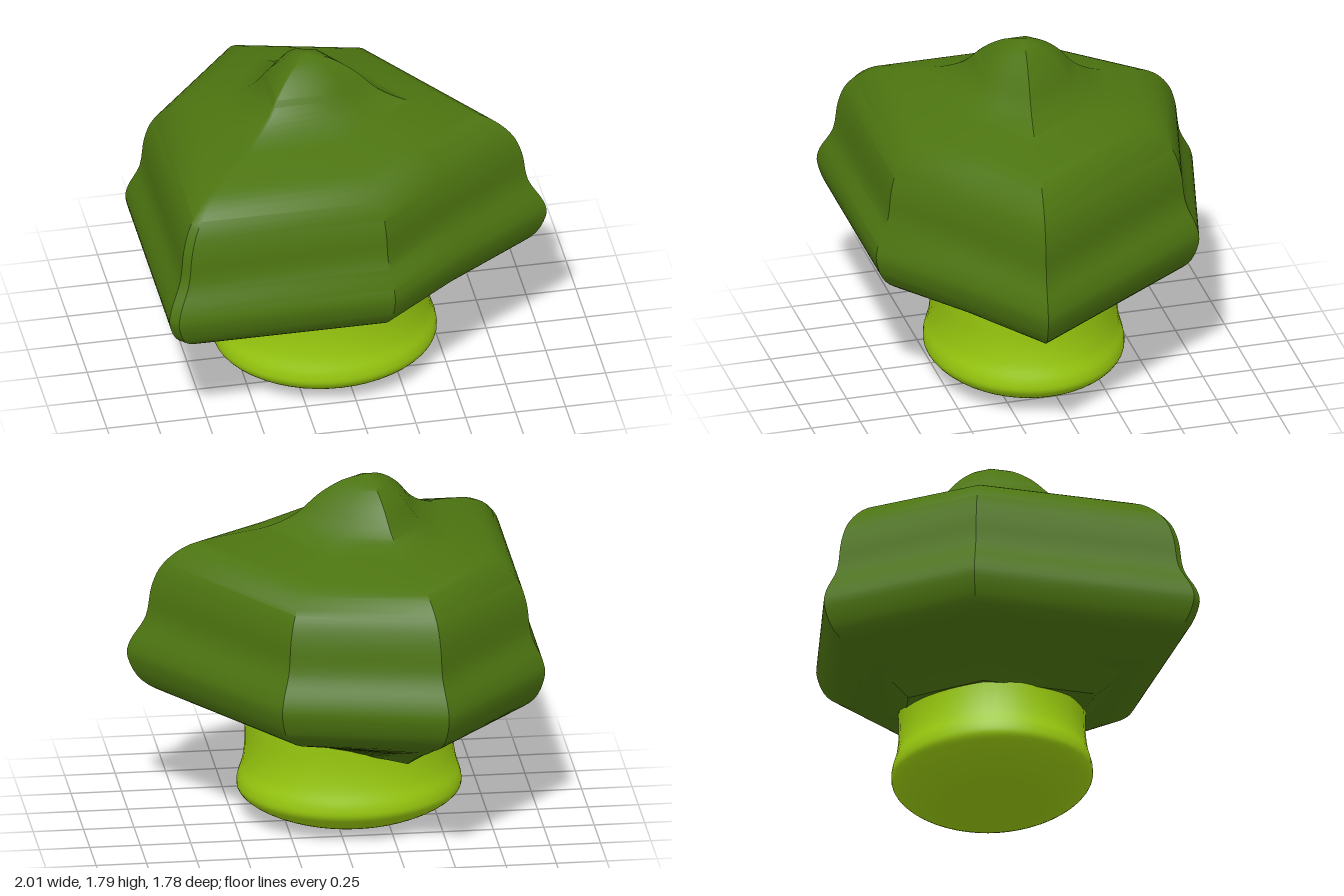
import * as THREE from 'three';
import { toCreasedNormals } from 'three/addons/utils/BufferGeometryUtils.js';

const leafGreen = new THREE.MeshStandardMaterial({ color: 0x4c7410 });
leafGreen.name = 'leafGreen';
const limeGreen = new THREE.MeshStandardMaterial({ color: 0x9acb0f });
limeGreen.name = 'limeGreen';

// Axis of the crown and its outline at the widest level: x, z, dip of the lower rim
const CX = -0.16, CZ = 0.05;
const OUTLINE = [
  [-1, -0.28, 0.06], [-0.45, -0.89, 0.07], [0.35, -0.7, 0], [1, 0.25, 0],
  [0.52, 0.57, 0], [0.12, 0.88, 0], [-0.96, 0.88, 0.06], [-1, 0.84, 0.06],
];

// Crown profile: outline scale, height
const PROFILE = [
  [0.5, 0.5], [0.62, 0.545], [0.8, 0.6], [0.94, 0.68], [1, 0.8], [0.99, 0.89],
  [0.925, 1.02], [0.9, 1.18], [0.85, 1.3], [0.74, 1.4], [0.56, 1.46],
  [0.42, 1.5], [0.3, 1.57], [0.2, 1.68], [0.1, 1.755], [0, 1.79],
];

// Lofts the angular outline along the smooth profile
function crownGeometry() {
  const curve = new THREE.SplineCurve(PROFILE.map(([s, y]) => new THREE.Vector2(s, y)));
  const rings = [new THREE.Vector2(0, 0.53), ...curve.getPoints(60)];
  const n = OUTLINE.length;
  const positions = [], index = [];
  rings.forEach(({ x: s, y }, j) => {
    const rim = j === 0 ? 0 : Math.max(0, 1 - (y - 0.5) / 0.1);
    for (const [x, z, dip] of OUTLINE) {
      positions.push(CX + (x - CX) * s, y - dip * rim, CZ + (z - CZ) * s);
    }
  });
  for (let j = 0; j < rings.length - 1; j++) {
    for (let i = 0; i < n; i++) {
      const a = j * n + i, b = j * n + (i + 1) % n;
      if (j > 0) index.push(b, a, a + n);
      if (j === 0) index.push(b, a + n, b + n);
      else if (j < rings.length - 2) index.push(b, a + n, b + n);
    }
  }
  const g = new THREE.BufferGeometry();
  g.setAttribute('position', new THREE.Float32BufferAttribute(positions, 3));
  g.setIndex(index);
  return toCreasedNormals(g, 0.62);
}

// Flared oval stem with a rounded foot
function stemGeometry() {
  const side = new THREE.SplineCurve([
    [0, 0], [0.2, 0.004], [0.34, 0.025], [0.47, 0.08], [0.545, 0.14], [0.553, 0.2],
    [0.527, 0.29], [0.515, 0.4], [0.52, 0.56],
  ].map(([r, y]) => new THREE.Vector2(r, y)));
  const points = side.getPoints(40);
  points.forEach((p) => { p.x = Math.max(0, p.x); });
  points.push(new THREE.Vector2(0, 0.57));
  return new THREE.LatheGeometry(points, 48);
}

export function createModel() {
  const group = new THREE.Group();
  group.name = 'tree';

  const crown = new THREE.Mesh(crownGeometry(), leafGreen);
  crown.name = 'crown';

  const stem = new THREE.Mesh(stemGeometry(), limeGreen);
  stem.name = 'stem';
  stem.position.set(-0.075, 0, 0.075);
  stem.scale.z = 0.885;

  group.add(crown, stem);
  return group;
}
